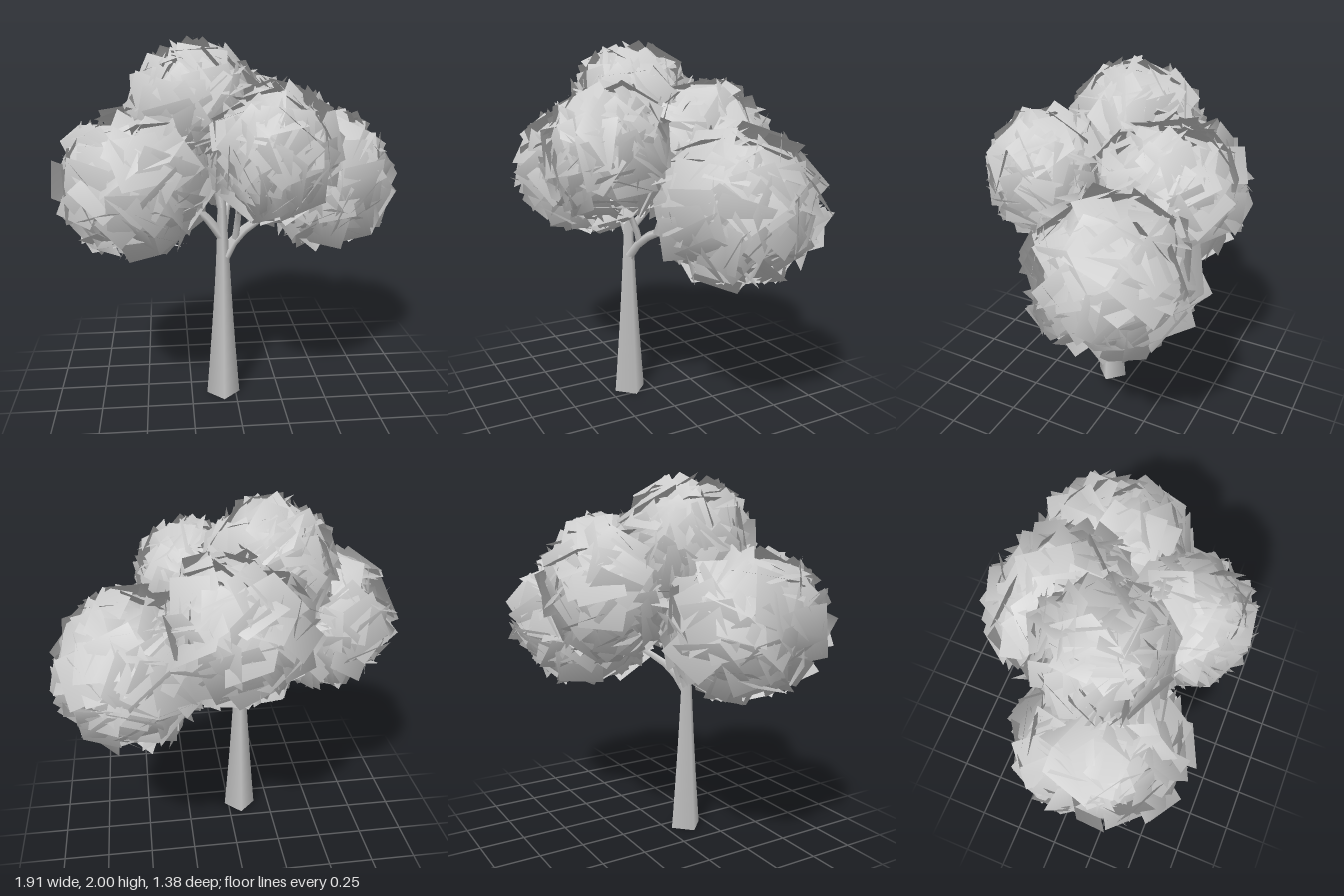
import * as THREE from 'three';

const bark = new THREE.MeshStandardMaterial({ color: 0xcccccc, side: THREE.DoubleSide });
const leaf = new THREE.MeshStandardMaterial({ color: 0xcccccc, side: THREE.DoubleSide });

// Small seeded generator so the foliage is always the same
function seeded(seed) {
  let s = seed;
  return () => {
    s = (s * 1664525 + 1013904223) % 4294967296;
    return s / 4294967296;
  };
}

// Four-sided tapering limb along a smooth path
function limb(name, points, rStart, rEnd, steps = 8, power = 1) {
  const sides = 4;
  const curve = new THREE.CatmullRomCurve3(points.map(p => new THREE.Vector3(...p)));
  const geo = new THREE.TubeGeometry(curve, steps, 1, sides);
  const pos = geo.attributes.position;
  const v = new THREE.Vector3();
  for (let i = 0; i <= steps; i++) {
    const t = i / steps;
    const centre = curve.getPointAt(t);
    const r = rEnd + (rStart - rEnd) * Math.pow(1 - t, power);
    for (let j = 0; j <= sides; j++) {
      const k = i * (sides + 1) + j;
      v.fromBufferAttribute(pos, k).sub(centre).multiplyScalar(r).add(centre);
      pos.setXYZ(k, v.x, v.y, v.z);
    }
  }
  const mesh = new THREE.Mesh(geo, bark);
  mesh.name = name;
  return mesh;
}

// Ragged ball of large, tilted, overlapping square leaf cards
function foliage(name, centre, radii, seed, count) {
  const rand = seeded(seed);
  const spread = a => (rand() + rand() - 1) * a;
  const positions = [], normals = [], index = [];
  const dir = new THREE.Vector3(), p = new THREE.Vector3(), n = new THREE.Vector3();
  const face = new THREE.Vector3();
  const q = new THREE.Quaternion(), tilt = new THREE.Quaternion();
  const zAxis = new THREE.Vector3(0, 0, 1);
  const size = new THREE.Vector3(...radii);
  for (let i = 0; i < count; i++) {
    // even spread of directions over the ball
    const y = 1 - 2 * (i + 0.5) / count;
    const ring = Math.sqrt(1 - y * y), a = i * 2.39996 + seed;
    dir.set(Math.cos(a) * ring, y, Math.sin(a) * ring);
    q.setFromUnitVectors(zAxis, dir);
    tilt.setFromEuler(new THREE.Euler(spread(1.15), spread(1.15), rand() * Math.PI * 2));
    q.multiply(tilt);
    face.copy(zAxis).applyQuaternion(q);
    const half = 0.085 + rand() * 0.055;
    // every sixth card sits deeper inside the crown
    const depth = i % 6 === 0 ? 0.45 + 0.25 * rand() : 0.74 + 0.14 * rand();
    const first = positions.length / 3;
    for (const [u, w] of [[-1, -1], [1, -1], [1, 1], [-1, 1]]) {
      p.set(u * half, w * half, 0).applyQuaternion(q);
      p.addScaledVector(dir.clone().multiply(size), depth);
      // keep stray corners close to the crown
      const reach = p.clone().divide(size).length();
      if (reach > 1.08) p.multiplyScalar(1.08 / reach);
      n.copy(p).normalize().addScaledVector(face, 0.6).normalize();
      positions.push(p.x, p.y, p.z);
      normals.push(n.x, n.y, n.z);
    }
    index.push(first, first + 1, first + 2, first, first + 2, first + 3);
  }
  const geo = new THREE.BufferGeometry();
  geo.setAttribute('position', new THREE.Float32BufferAttribute(positions, 3));
  geo.setAttribute('normal', new THREE.Float32BufferAttribute(normals, 3));
  geo.setIndex(index);
  const mesh = new THREE.Mesh(geo, leaf);
  mesh.name = name;
  mesh.position.set(...centre);
  return mesh;
}

export function createModel() {
  const tree = new THREE.Group();
  tree.name = 'tree';

  // Trunk, open at the foot
  tree.add(limb('trunk', [[-0.07, 0, 0.125], [-0.07, 0.4, 0.125], [-0.07, 0.8, 0.125], [-0.075, 1.2, 0.12]],
    0.093, 0.022, 14, 1.4));

  // Branches reaching into each leaf ball
  const branches = [
    ['leftBranch', [[-0.06, 0.82, 0.12], [0.01, 0.92, 0.08], [0.17, 1.01, 0], [0.5, 1.15, -0.18]], 0.032],
    ['frontBranch', [[0, 0.9, 0.09], [0.01, 1.0, 0.12], [0.02, 1.15, 0.2], [0.15, 1.42, 0.34]], 0.02],
    ['rightBranch', [[-0.07, 0.93, 0.125], [-0.16, 1.05, 0.13], [-0.28, 1.15, 0.14], [-0.5, 1.27, 0.16]], 0.028],
    ['backBranch', [[-0.07, 0.96, 0.12], [-0.04, 1.08, 0.02], [0, 1.2, -0.1], [0.04, 1.38, -0.26]], 0.026],
    ['topBranch', [[-0.075, 1.1, 0.12], [-0.1, 1.25, 0.1], [-0.15, 1.42, 0.07], [-0.21, 1.62, 0.03]], 0.026],
  ];
  for (const [name, path, r] of branches) {
    tree.add(limb(name, path, r, 0.008));
    // twigs fanning out near the tip
    const tip = new THREE.Vector3(...path[3]), fork = new THREE.Vector3(...path[2]);
    for (let i = 0; i < 3; i++) {
      const a = i * 2.1 + r * 100;
      const end = tip.clone().add(new THREE.Vector3(Math.cos(a) * 0.2, 0.06 * (i - 1), Math.sin(a) * 0.2));
      const mid = fork.clone().lerp(end, 0.5).add(new THREE.Vector3(0, 0.02, 0));
      tree.add(limb(name + 'Twig', [fork.toArray(), mid.toArray(), end.toArray()], 0.012, 0.004, 4));
    }
  }

  // Crown of five leaf balls
  tree.add(
    foliage('rightLeaves', [-0.53, 1.26, 0.16], [0.405, 0.385, 0.45], 11, 210),
    foliage('frontLeaves', [0.17, 1.44, 0.35], [0.33, 0.35, 0.325], 23, 170),
    foliage('leftLeaves', [0.54, 1.18, -0.2], [0.395, 0.405, 0.455], 37, 210),
    foliage('topLeaves', [-0.21, 1.62, 0.03], [0.35, 0.35, 0.36], 53, 180),
    foliage('backLeaves', [0.02, 1.41, -0.27], [0.43, 0.39, 0.39], 71, 200),
  );
  return tree;
}
